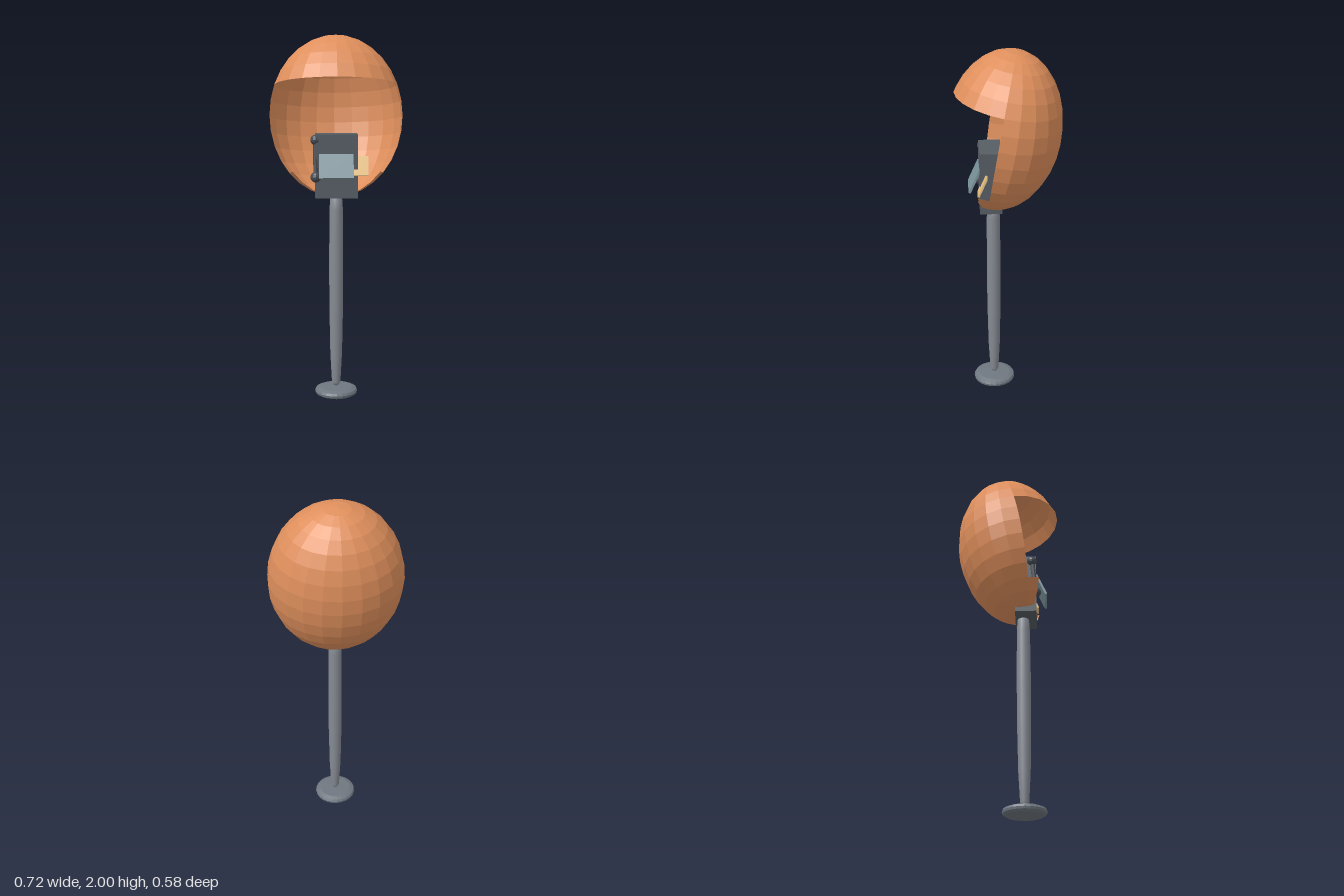
import * as THREE from 'three';
import { mergeGeometries } from 'three/addons/utils/BufferGeometryUtils.js';

const mat = (color, extra = {}) => new THREE.MeshStandardMaterial({ color, flatShading: true, ...extra });

export function createModel() {
  const model = new THREE.Group();
  const POLE_Z = 0.084;

  const add = (name, geometry, material, x, y, z, rx = 0) => {
    const mesh = new THREE.Mesh(geometry, material);
    mesh.name = name;
    mesh.position.set(x, y, z);
    mesh.rotation.x = rx;
    model.add(mesh);
    return mesh;
  };

  // Egg-shaped hood: bands of one 22 x 16 ellipsoid, opened at the front
  const step = (Math.PI * 2) / 22, ring = Math.PI / 16;
  const band = (from, to, open) => new THREE.SphereGeometry(
    1, 22 - 2 * open, to - from,
    Math.PI / 2 + open * step, (22 - 2 * open) * step,
    from * ring, (to - from) * ring);
  const shell = mergeGeometries([
    band(0, 6, 0),    // crown and visor
    band(6, 12, 5),   // sides and back around the opening
    band(12, 15, 4),  // lower lip, slightly narrower opening
    band(15, 16, 0),  // closed bottom
  ]);
  shell.scale(0.364, 0.44, 0.316);
  add('hood', shell, mat(0xdf8f5c, { side: THREE.DoubleSide }), 0, 1.56, 0.03, -THREE.MathUtils.degToRad(10));

  // Pole with a gentle swell and rounded ends
  const poleProfile = [
    [0, 0.045], [0.014, 0.052], [0.024, 0.07], [0.033, 0.24], [0.038, 0.5],
    [0.039, 0.75], [0.037, 1.05], [0.031, 1.14], [0, 1.15],
  ].map(([r, y]) => new THREE.Vector2(r, y));
  add('pole', new THREE.LatheGeometry(poleProfile, 20), new THREE.MeshStandardMaterial({ color: 0x858a92 }), 0, 0, POLE_Z);

  // Foot disc
  const footProfile = [[0, 0], [0.1, 0], [0.116, 0.01], [0.119, 0.022], [0.113, 0.034], [0.09, 0.043], [0, 0.046]]
    .map(([r, y]) => new THREE.Vector2(r, y));
  add('foot', new THREE.LatheGeometry(footProfile, 24), mat(0x6f7780), 0, 0, POLE_Z);

  // Phone housing
  add('phoneBox', new THREE.BoxGeometry(0.23, 0.345, 0.12), mat(0x565d64), 0, 1.295, 0.1);

  // Sloping front panel and side note plate
  const slope = -0.42;
  add('frontPanel', new THREE.BoxGeometry(0.185, 0.136, 0.012), mat(0x7b949c), -0.002, 1.3, 0.187, slope);
  add('sidePlate', new THREE.BoxGeometry(0.08, 0.11, 0.01), mat(0xe8c080), 0.132, 1.297, 0.147, slope);

  // Handset: a bar with two round ends
  const dark = mat(0x464c53);
  const handset = new THREE.Group();
  handset.name = 'handset';
  const bar = new THREE.Mesh(new THREE.CylinderGeometry(0.014, 0.014, 0.2, 10), dark);
  bar.name = 'handsetBar';
  handset.add(bar);
  for (const s of [-1, 1]) {
    const end = new THREE.Mesh(new THREE.SphereGeometry(0.029, 12, 8), dark);
    end.name = s > 0 ? 'earpiece' : 'mouthpiece';
    end.position.y = s * 0.1;
    handset.add(end);
  }
  handset.position.set(-0.112, 1.338, 0.147);
  handset.rotation.x = -0.1;
  model.add(handset);

  return model;
}
